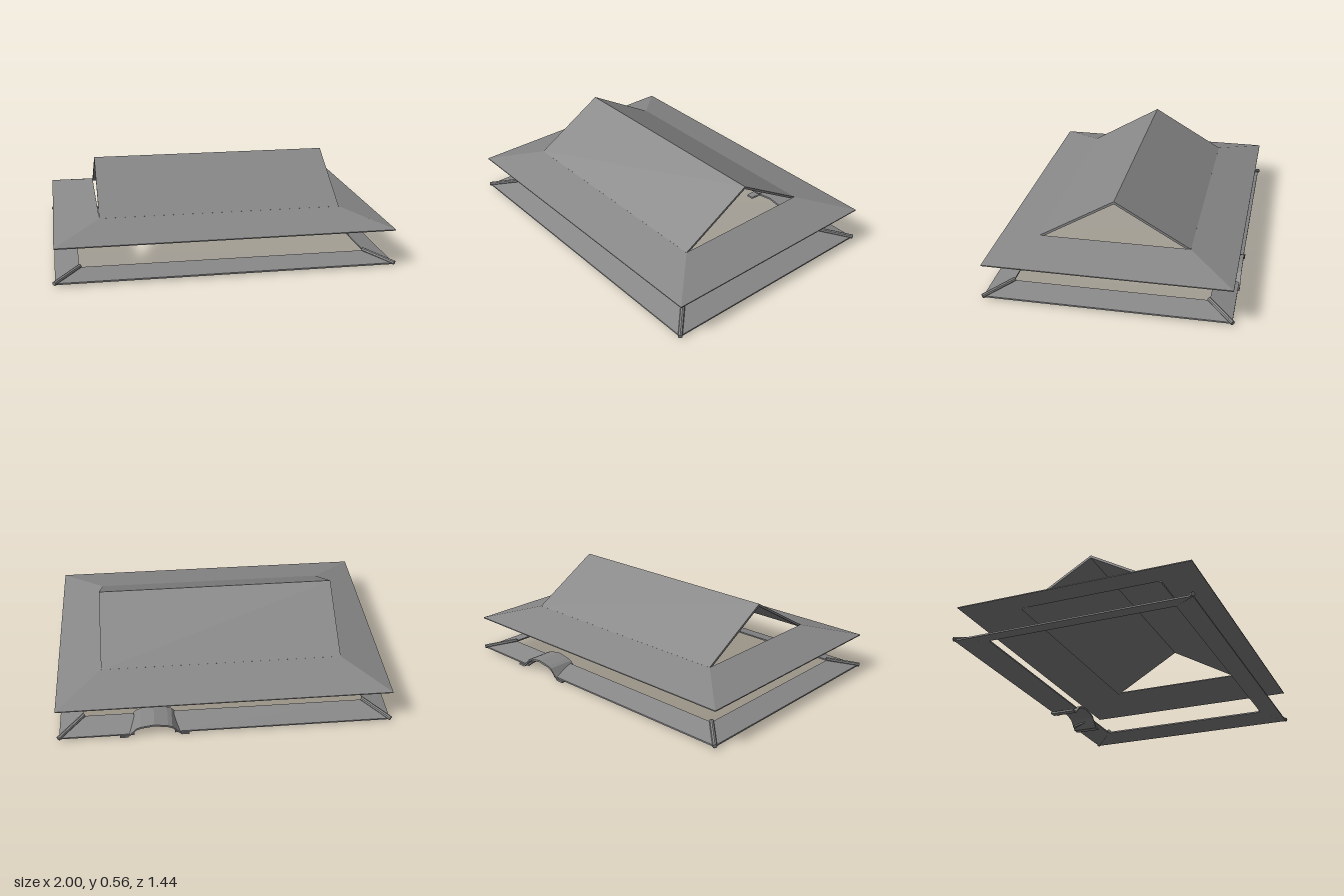
import * as THREE from 'three';

const material = new THREE.MeshStandardMaterial({ color: 0x888888, flatShading: true, side: THREE.DoubleSide });

function addMesh(parent, name, geometry) {
  const mesh = new THREE.Mesh(geometry, material);
  mesh.name = name;
  parent.add(mesh);
  return mesh;
}

// Thin plate: four top corners (counter-clockwise from above), dropped by a thickness
function slab(top, thickness) {
  const bottom = top.map(([x, y, z]) => [x, y - thickness, z]);
  const positions = [];
  const quad = (a, b, c, d) => positions.push(...a, ...b, ...c, ...a, ...c, ...d);
  quad(...top);
  quad(...[...bottom].reverse());
  for (let i = 0; i < 4; i++) {
    const j = (i + 1) % 4;
    quad(top[i], bottom[i], bottom[j], top[j]);
  }
  const geometry = new THREE.BufferGeometry();
  geometry.setAttribute('position', new THREE.Float32BufferAttribute(positions, 3));
  geometry.computeVertexNormals();
  return geometry;
}

// Corners of a centred rectangle, running counter-clockwise from above
const corners = (x, y, z) => [[x, y, z], [x, y, -z], [-x, y, -z], [-x, y, z]];

// Four mitred sloping plates; the back one may be left open between two x values
function slopedRing(name, outer, inner, thickness, gap) {
  const group = new THREE.Group();
  group.name = name;
  ['Left', 'Back', 'Right', 'Front'].forEach((side, i) => {
    const j = (i + 1) % 4;
    const [a, b, c, d] = [outer[i], outer[j], inner[j], inner[i]];
    if (side === 'Back' && gap) {
      const at = (p, x) => [x, p[1], p[2]];
      addMesh(group, name + 'BackA', slab([a, at(a, gap[1]), at(d, gap[1]), d], thickness));
      addMesh(group, name + 'BackB', slab([at(b, gap[0]), b, c, at(c, gap[0])], thickness));
    } else {
      addMesh(group, name + side, slab([a, b, c, d], thickness));
    }
  });
  return group;
}

// Straight rod between two points
function rod(parent, name, from, to, radius) {
  const a = new THREE.Vector3(...from), b = new THREE.Vector3(...to);
  const direction = b.clone().sub(a);
  const mesh = addMesh(parent, name, new THREE.CylinderGeometry(radius, radius, direction.length(), 8));
  mesh.position.copy(a).add(b).multiplyScalar(0.5);
  mesh.quaternion.setFromUnitVectors(new THREE.Vector3(0, 1, 0), direction.normalize());
}

export function createModel() {
  const model = new THREE.Group();
  model.name = 'hipAndGableRoof';

  const upperRoof = new THREE.Group();
  upperRoof.name = 'upperRoof';
  upperRoof.position.x = 0.003;
  model.add(upperRoof);

  // Upper roof: hipped skirt
  upperRoof.add(slopedRing('skirt', corners(0.987, 0.226, 0.707), corners(0.72, 0.3, 0.437), 0.006));

  // Upper roof: open-ended gable
  const x = 0.72;
  addMesh(upperRoof, 'gableFront', slab([[-x, 0.3, 0.438], [x, 0.3, 0.438], [x, 0.557, 0], [-x, 0.557, 0]], 0.016));
  addMesh(upperRoof, 'gableBack', slab([[x, 0.3, -0.438], [-x, 0.3, -0.438], [-x, 0.557, 0], [x, 0.557, 0]], 0.016));

  // Lower eave ring, open at the back under the arch
  model.add(slopedRing('eave', corners(0.985, 0.021, 0.707), corners(0.845, 0.057, 0.567), 0.009, [0.305, 0.545]));

  // Hip ribs on the eave corners
  for (const sx of [1, -1]) for (const sz of [1, -1]) {
    rod(model, 'hipRib', [sx * 0.99, 0.021, sz * 0.711], [sx * 0.84, 0.062, sz * 0.562], 0.013);
  }

  // Arch over the back eave, with flat feet
  const half = [[0.205, 0.003], [0.16, 0.003], [0.135, 0.025], [0.105, 0.057], [0.08, 0.067], [0, 0.08]];
  const line = [...half.map(([px, py]) => [-px, py]), ...half.slice(0, -1).reverse()];
  const shape = new THREE.Shape();
  line.forEach(([px, py], i) => (i ? shape.lineTo(px, py - 0.003) : shape.moveTo(px, py - 0.003)));
  [...line].reverse().forEach(([px, py]) => shape.lineTo(px, py + 0.009));
  const arch = addMesh(model, 'eaveArch', new THREE.ExtrudeGeometry(shape, { depth: 0.165, bevelEnabled: false }));
  arch.position.set(0.425, 0, -0.715);

  return model;
}
